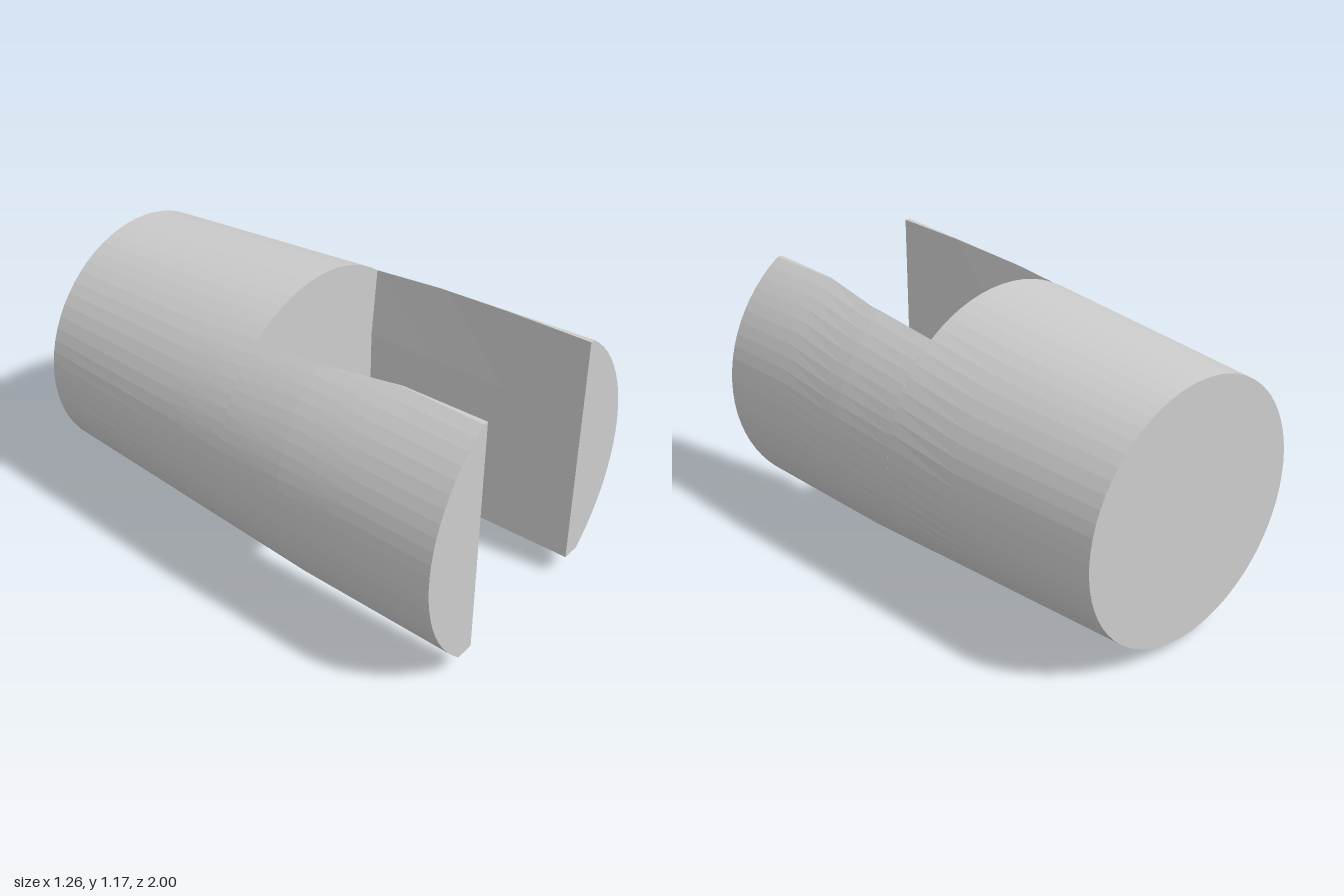
import * as THREE from 'three';

const CY = 0.578;      // height of the barrel axis
const FLAT = 0.1;      // height of the flat underside
const SLOT = 0.335;    // half width of the slot

// Barrel radius along z
function radius(z) {
  if (z < 0) return 0.595 + 0.063 * z;
  if (z < 0.3) return 0.595 + 0.0633 * z;
  return 0.614 + (z - 0.3) * 0.0265;
}

// Skin matching counter-clockwise sections ordered by z, with optional end caps
function loft(name, sections, capBack, capFront) {
  const pos = [];
  const tri = (a, b, c) => {
    const area = b.clone().sub(a).cross(c.clone().sub(a)).length();
    if (area > 1e-9) pos.push(...a.toArray(), ...b.toArray(), ...c.toArray());
  };
  for (let i = 0; i < sections.length - 1; i++) {
    const s = sections[i], t = sections[i + 1], n = s.length;
    for (let j = 0; j < n; j++) {
      const k = (j + 1) % n;
      tri(s[j], s[k], t[k]);
      tri(s[j], t[k], t[j]);
    }
  }
  const cap = (s, flip) => {
    const flat = s.map(p => new THREE.Vector2(p.x, p.y));
    for (const [a, b, c] of THREE.ShapeUtils.triangulateShape(flat, [])) {
      if (flip) tri(s[a], s[c], s[b]);
      else tri(s[a], s[b], s[c]);
    }
  };
  if (capBack) cap(sections[0], true);
  if (capFront) cap(sections[sections.length - 1], false);
  const geo = new THREE.BufferGeometry();
  geo.setAttribute('position', new THREE.Float32BufferAttribute(pos, 3));
  geo.computeVertexNormals();
  const mesh = new THREE.Mesh(geo, new THREE.MeshStandardMaterial({ color: 0xcccccc, flatShading: true }));
  mesh.name = name;
  return mesh;
}

// Body outline: a circle, or one whose bottom is cut to a shallow ridge
function bodySection(z, edgeX, cut) {
  const r = radius(z), half = Math.asin(edgeX / r), pts = [];
  const start = -Math.PI / 2 + half, sweep = 2 * (Math.PI - half);
  for (let i = 0; i <= 54; i++) {
    const a = start + sweep * i / 54;
    pts.push(new THREE.Vector3(r * Math.cos(a), CY + r * Math.sin(a), z));
  }
  const edgeY = CY - r * Math.cos(half);
  for (let i = 1; i < 12; i++) {
    const a = half * (i / 6 - 1), x = r * Math.sin(a);
    const y = cut ? THREE.MathUtils.lerp(FLAT, edgeY, Math.abs(x) / edgeX) : CY - r * Math.cos(a);
    pts.push(new THREE.Vector3(x, y, z));
  }
  return pts;
}

// Arm outline: flat inner wall, upper lip leaning outward near the body, round outside
function armSection(z, side) {
  const r = radius(z), top = 1.1;
  const lipX = SLOT + 0.03 * THREE.MathUtils.clamp((0.65 - z) / 0.3, 0, 1);
  const lipY = Math.min(top, CY + Math.sqrt(r * r - lipX * lipX));
  const a0 = Math.asin((FLAT - CY) / r), a1 = Math.asin((lipY - CY) / r);
  const pts = [new THREE.Vector3(SLOT, FLAT, z)];
  for (let i = 0; i <= 22; i++) {
    const a = a0 + (a1 - a0) * i / 22;
    pts.push(new THREE.Vector3(r * Math.cos(a), CY + r * Math.sin(a), z));
  }
  pts.push(new THREE.Vector3(lipX, lipY, z), new THREE.Vector3(SLOT, 0.76, z));
  if (side < 0) {
    pts.forEach(p => { p.x *= -1; });
    pts.reverse();
  }
  return pts;
}

export function createModel() {
  const group = new THREE.Group();
  group.name = 'slottedBarrel';

  // Tapered body with a shallow step under its front
  group.add(loft('body', [
    bodySection(-1, 0.27, false),
    bodySection(-0.34, 0.27, false),
    bodySection(-0.355, 0.27, true),
    bodySection(0, SLOT, true),
  ], true, true));

  // Two arms either side of the open slot
  for (const [name, side] of [['leftArm', 1], ['rightArm', -1]]) {
    const sections = [0, 0.3, 0.35, 0.65, 1].map(z => armSection(z, side));
    group.add(loft(name, sections, false, true));
  }
  return group;
}
